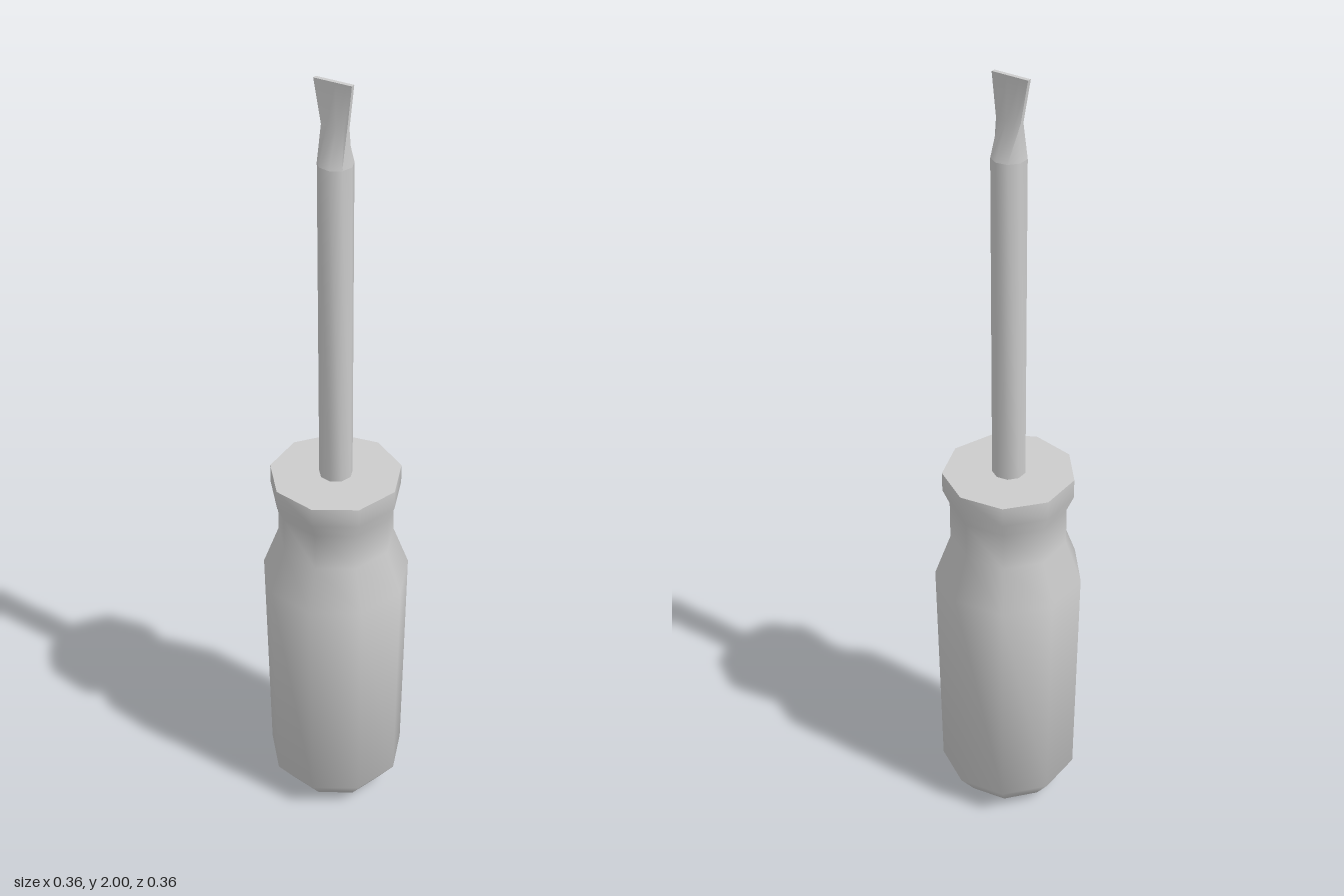
import * as THREE from 'three';
import { toCreasedNormals } from 'three/addons/utils/BufferGeometryUtils.js';

const SIDES = 9;
const CREASE = THREE.MathUtils.degToRad(62);

function makeMesh(name, geometry) {
  const material = new THREE.MeshStandardMaterial({ color: 0xcccccc });
  const mesh = new THREE.Mesh(toCreasedNormals(geometry, CREASE), material);
  mesh.name = name;
  return mesh;
}

// Nine-sided turned part with a corner pointing to +x
function turned(profile) {
  const points = profile.map(([r, y]) => new THREE.Vector2(r, y));
  return new THREE.LatheGeometry(points, SIDES, Math.PI / 2);
}

// Skin over rings that go from the round shaft to the flat tip;
// each ring is [y, left x, right x, half thickness]
function bladeGeometry(rings) {
  const count = SIDES + 1; // the +x corner is doubled to give the blade a square edge
  const minCos = -Math.cos(Math.PI / SIDES);
  const positions = [];
  const index = [];
  rings.forEach(([y, left, right, half], i) => {
    for (let j = 0; j < count; j++) {
      const angle = (j / SIDES) * Math.PI * 2;
      const t = (Math.cos(angle) - minCos) / (1 - minCos);
      const side = j < count / 2 ? 1 : -1;
      const z = i === 0 ? half * Math.sin(angle) : half * side;
      positions.push(left + (right - left) * t, y, z);
    }
  });
  for (let i = 0; i < rings.length - 1; i++) {
    for (let j = 0; j < count; j++) {
      const a = i * count + j;
      const b = i * count + ((j + 1) % count);
      index.push(a, a + count, b, b, a + count, b + count);
    }
  }
  // Flat end of the tip
  const top = (rings.length - 1) * count;
  for (let j = 1; j < count - 1; j++) index.push(top, top + j + 1, top + j);

  const geometry = new THREE.BufferGeometry();
  geometry.setAttribute('position', new THREE.Float32BufferAttribute(positions, 3));
  geometry.setIndex(index);
  return geometry;
}

export function createModel() {
  const model = new THREE.Group();
  model.name = 'screwdriver';

  // Grip with rounded butt, narrow neck and flared collar
  const handle = makeMesh('handle', turned([
    [0, 0.003], [0.133, 0.025], [0.177, 0.085], [0.185, 0.7],
    [0.145, 0.81], [0.145, 0.91], [0.162, 0.95], [0.162, 1], [0, 1],
  ]));
  handle.position.x = -0.006;

  // Straight metal rod
  const shaft = makeMesh('shaft', turned([[0.041, 0.99], [0.041, 1.815]]));
  shaft.position.x = -0.006;

  // Flattened, flared blade
  const blade = makeMesh('blade', bladeGeometry([
    [1.815, -0.0445, 0.035, 0.041],
    [1.9, -0.039, 0.025, 0.005],
    [2, -0.057, 0.036, 0.005],
  ]));

  model.add(handle, shaft, blade);
  return model;
}
